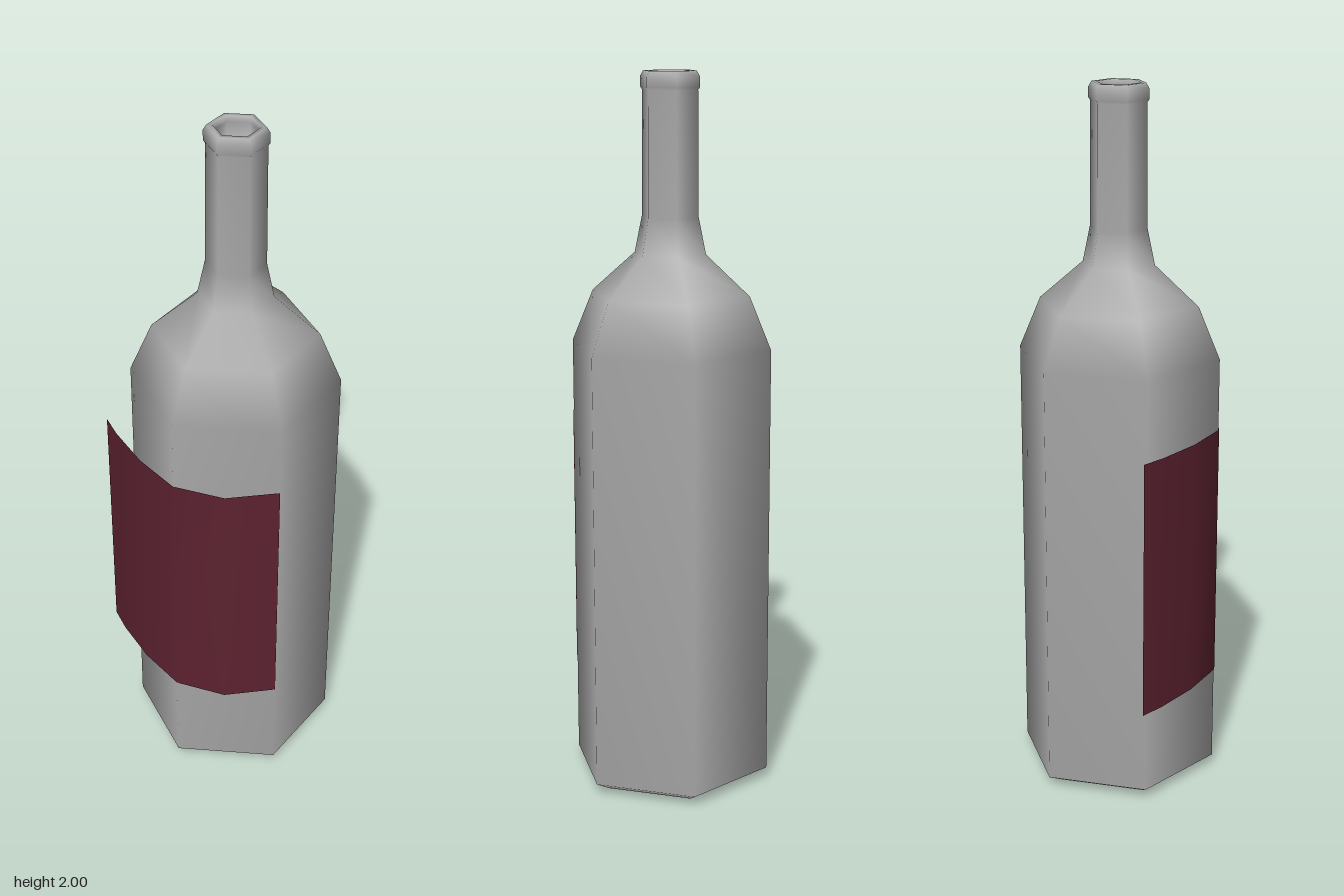
import * as THREE from 'three';

const glass = new THREE.MeshStandardMaterial({ color: 0xaaaaaa });
glass.name = 'grey glass';
const paper = new THREE.MeshStandardMaterial({ color: 0x5c2230, side: THREE.DoubleSide });
paper.name = 'wine red paper';

// Six-sided bottle turned from one profile [radius, height], with a hollow mouth
function makeBottle() {
  const profile = [
    [0, 0], [0.22, 0], [0.24, 0.004], [0.287, 0.03],   // base
    [0.287, 1.255], [0.226, 1.4], [0.102, 1.51],       // body and shoulder
    [0.081, 1.61], [0.079, 1.95],                      // neck
    [0.084, 1.957], [0.084, 1.985], [0.075, 2.0],      // rim
    [0.061, 2.0], [0.058, 1.985], [0.058, 1.92], [0, 1.92], // mouth
  ].map(([r, y]) => new THREE.Vector2(r, y));
  const bottle = new THREE.Mesh(new THREE.LatheGeometry(profile, 6, -0.084), glass);
  bottle.name = 'bottle';
  bottle.position.x = 0.042;
  return bottle;
}

// Curved label: a plane whose columns follow a path [x, z], loose on one side
function makeLabel() {
  const path = [[-0.302, 0.126], [-0.24, 0.17], [-0.12, 0.237],
    [0.018, 0.288], [0.163, 0.26], [0.279, 0.165]];
  const bottom = 0.312, top = 1.052;
  const geometry = new THREE.PlaneGeometry(1, 1, path.length - 1, 1);
  const position = geometry.attributes.position;
  for (let i = 0; i < position.count; i++) {
    const [x, z] = path[i % path.length];
    position.setXYZ(i, x, i < path.length ? top : bottom, z);
  }
  geometry.computeVertexNormals();
  const label = new THREE.Mesh(geometry, paper);
  label.name = 'label';
  return label;
}

export function createModel() {
  const model = new THREE.Group();
  model.name = 'labelled bottle';
  model.add(makeBottle(), makeLabel());
  return model;
}
